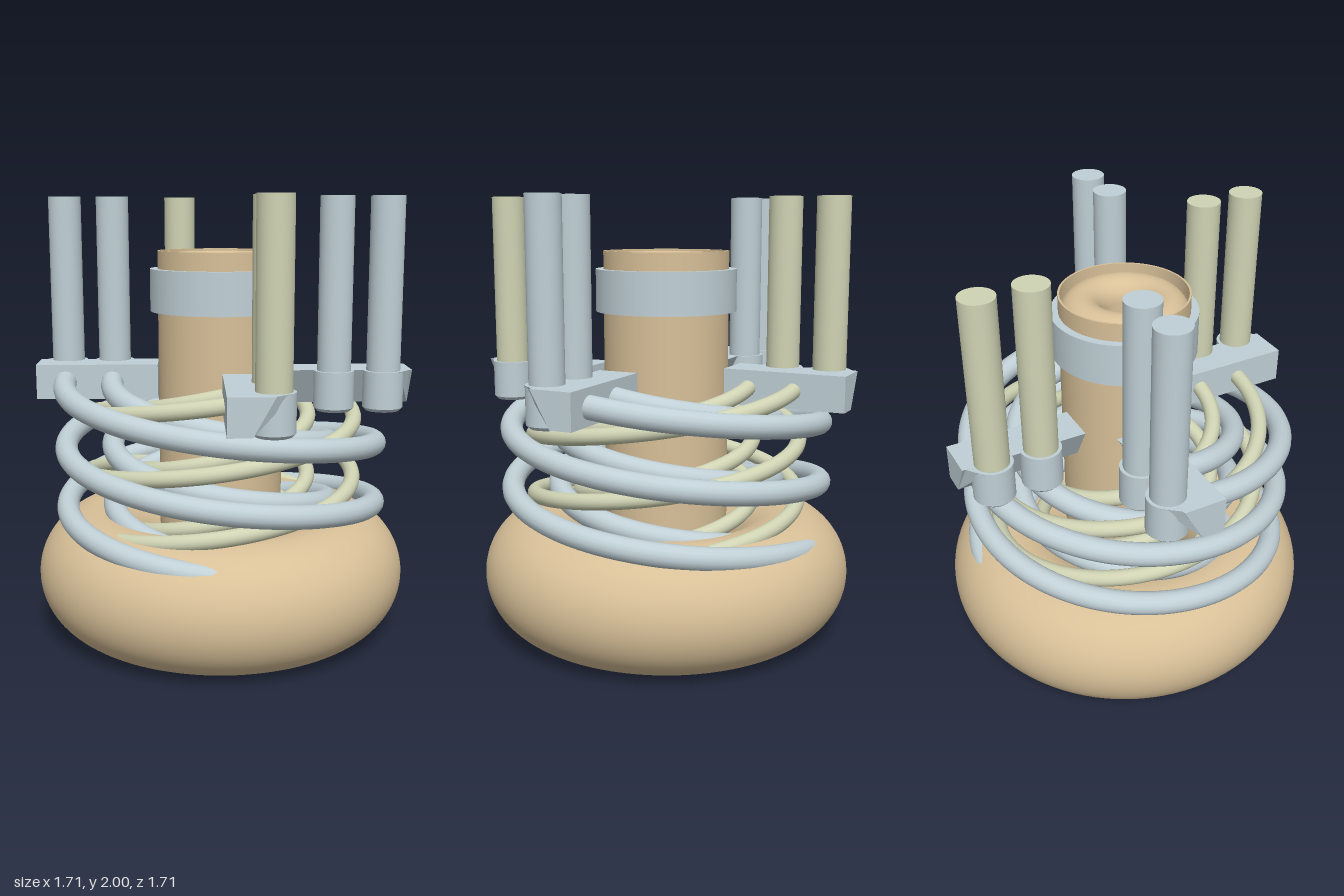
import * as THREE from 'three';
import { ConvexGeometry } from 'three/addons/geometries/ConvexGeometry.js';

const make = (name, color) => {
  const m = new THREE.MeshStandardMaterial({ color, side: THREE.DoubleSide });
  m.name = name;
  return m;
};
const V = (x, y, z) => new THREE.Vector3(x, y, z);

// Descending coil; swapped coils wind the other way
class Helix extends THREE.Curve {
  constructor(radius, swap) {
    super();
    this.radius = radius;
    this.swap = swap;
  }
  getPoint(t, target = new THREE.Vector3()) {
    const turns = 1.5 * t, a = turns * Math.PI * 2;
    const u = this.radius * Math.cos(a), v = -this.radius * Math.sin(a);
    const y = 1.16 - 0.56 * turns;
    return this.swap ? target.set(v, y, u) : target.set(u, y, v);
  }
}

export function createModel() {
  const tan = make('tan', 0xd8c098);
  const blue = make('pale blue', 0xc0d0d6);
  const green = make('pale green', 0xd0d4b4);
  const root = new THREE.Group();
  root.name = 'coiledApparatus';

  const add = (parent, name, geometry, material, x = 0, y = 0, z = 0) => {
    const mesh = new THREE.Mesh(geometry, material);
    mesh.name = name;
    mesh.position.set(x, y, z);
    parent.add(mesh);
    return mesh;
  };
  const lathe = (pts, segments = 96) =>
    new THREE.LatheGeometry(pts.map(([x, y]) => new THREE.Vector2(x, y)), segments);
  // Circular arc as profile points
  const arc = (cx, cy, r, from, to, n) => Array.from({ length: n + 1 }, (_, i) => {
    const a = from + (to - from) * i / n;
    return [cx + r * Math.cos(a), cy + r * Math.sin(a)];
  });

  // Hollow ring base with an annular slit underneath
  add(root, 'ringBase', lathe(arc(0.57, 0.283, 0.283, -Math.PI / 2 + 0.15, Math.PI * 1.5 - 0.15, 64)), tan);

  // Central column, rounded mouth and its floor
  add(root, 'column', lathe([[0.285, 0.283], [0.285, 1.76]]), tan);
  add(root, 'columnRim', lathe([[0.285, 1.76], [0.276, 1.76]]), tan);
  add(root, 'columnMouth', lathe(arc(0.188, 1.66, 0.092, 0, Math.PI, 24)), tan);
  add(root, 'mouthThroat', lathe([[0.096, 1.66], [0.096, 1.56]]), tan);
  add(root, 'mouthFloor', new THREE.CylinderGeometry(0.096, 0.096, 0.01, 48), tan, 0, 1.56, 0);

  // Band around the column, built as a ring with square edges
  const ring = new THREE.Shape().absarc(0, 0, 0.32, 0, Math.PI * 2);
  ring.holes.push(new THREE.Path().absarc(0, 0, 0.284, 0, Math.PI * 2, true));
  const band = new THREE.ExtrudeGeometry(ring, { depth: 0.19, bevelEnabled: false, curveSegments: 64 });
  add(root, 'columnBand', band.rotateX(-Math.PI / 2), blue, 0, 1.49, 0);

  // Undercut arm with two sockets, pins and coils
  const addArm = (parent, name, swap, color, coilRadii, thickness) => {
    const arm = new THREE.Group();
    arm.name = name;
    parent.add(arm);

    const s = swap ? 1 : -1;
    const section = new THREE.Shape([[0, 1.08], [0.1, 1.08], [0.19, 1.24], [0, 1.24]]
      .map(([x, y]) => new THREE.Vector2(s * x, y)));
    const bar = new THREE.ExtrudeGeometry(section, { depth: 0.56, bevelEnabled: false });
    bar.translate(0, 0, 0.29);
    if (!swap) bar.rotateY(Math.PI / 2);
    add(arm, 'armBar', bar, blue);

    // Wedge joining the arm tip to the outer socket
    const wedge = [[0.1, 1.08, 0.849], [0.17, 1.239, 0.849], [0.26, 1.239, 0.78], [0.19, 1.239, 0.7], [0.1, 1.08, 0.7]]
      .map(([x, y, z]) => (swap ? V(x, y, z) : V(z, y, x)));
    add(arm, 'tipWedge', new ConvexGeometry(wedge), blue);

    for (const d of [0.5, 0.72]) {
      const [x, z] = swap ? [0.19, d] : [d, 0.19];
      add(arm, 'socket', new THREE.CylinderGeometry(0.09, 0.09, 0.165, 40), blue, x, 1.1575, z);
      add(arm, 'socketFoot', new THREE.CylinderGeometry(0.09, 0.075, 0.015, 40), blue, x, 1.0675, z);
      add(arm, 'pin', new THREE.CylinderGeometry(0.075, 0.075, 0.78, 40), color, x, 1.61, z);
    }
    for (const r of coilRadii) {
      add(arm, 'coil', new THREE.TubeGeometry(new Helix(r, swap), 200, thickness, 16, false), color);
    }
  };

  // Two opposite halves, each with one arm of either colour
  for (const [name, angle] of [['frontHalf', 0], ['backHalf', Math.PI]]) {
    const half = new THREE.Group();
    half.name = name;
    half.rotation.y = angle;
    addArm(half, 'blueArm', false, blue, [0.5, 0.715], 0.051);
    addArm(half, 'greenArm', true, green, [0.405, 0.615], 0.036);
    root.add(half);
  }
  return root;
}
